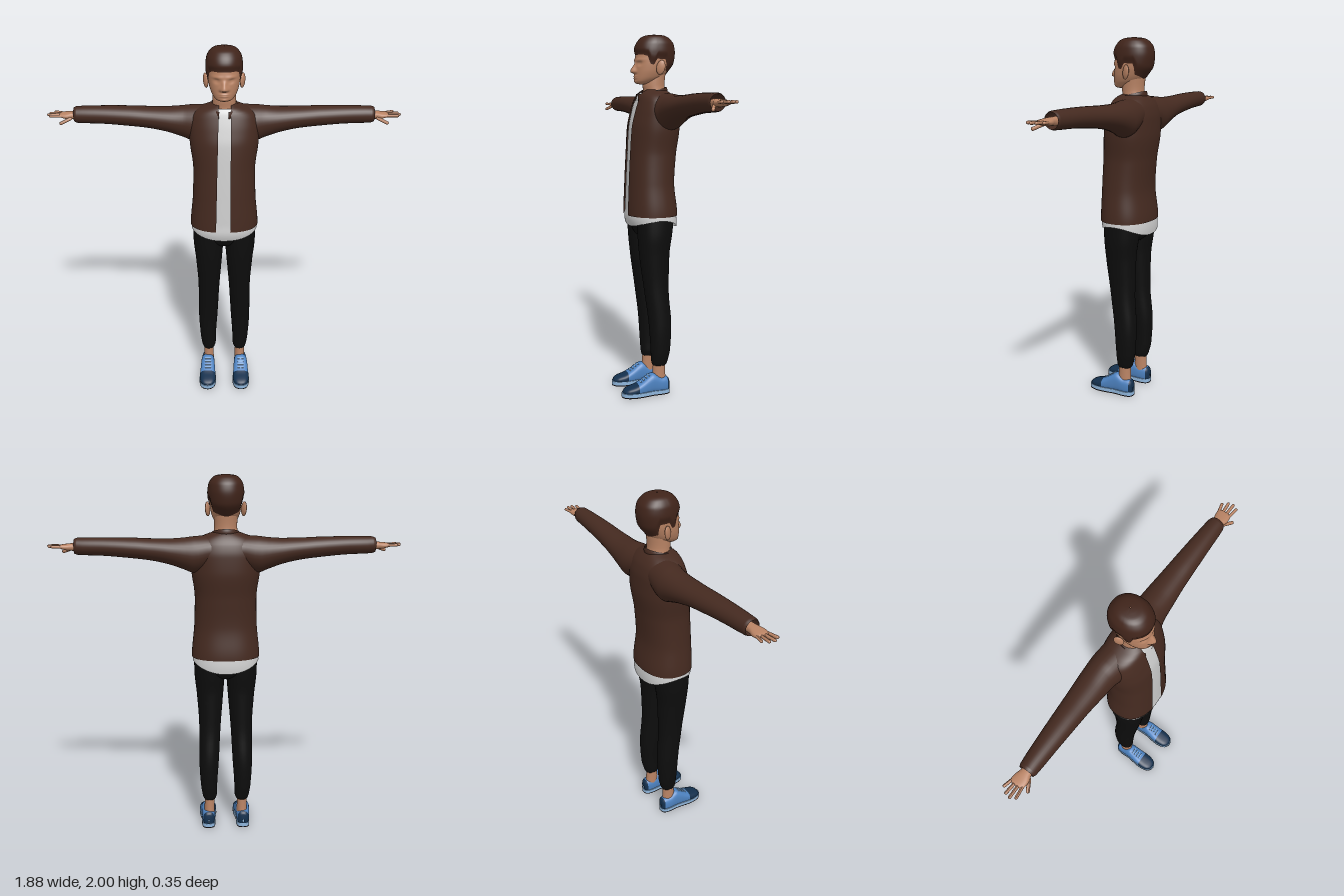
import * as THREE from 'three';
import { mergeVertices } from 'three/addons/utils/BufferGeometryUtils.js';

const TAU = Math.PI * 2;
const gauss = (d, s) => Math.exp(-(d * d) / (s * s));
const clamp = THREE.MathUtils.clamp, smooth = THREE.MathUtils.smoothstep, lerp = THREE.MathUtils.lerp;

const mat = (name, color, open) => {
  const m = new THREE.MeshStandardMaterial({ color });
  m.name = name;
  if (open) m.side = THREE.DoubleSide;
  return m;
};

// Monotone cubic interpolation of rows [t, a, b, c, d]
function sample(rows, t) {
  const n = rows.length - 1;
  let i = 0;
  while (i < n - 1 && t > rows[i + 1][0]) i++;
  const h = rows[i + 1][0] - rows[i][0], s = clamp((t - rows[i][0]) / h, 0, 1);
  const sec = (j, c) => (rows[j + 1][c] - rows[j][c]) / (rows[j + 1][0] - rows[j][0]);
  const slope = (j, c) => {
    if (j === 0) return sec(0, c);
    if (j === n) return sec(n - 1, c);
    const p = sec(j - 1, c), q = sec(j, c);
    return p * q <= 0 ? 0 : (2 * p * q) / (p + q);
  };
  return [1, 2, 3, 4].map(c =>
    rows[i][c] * (1 + 2 * s) * (1 - s) ** 2 + rows[i + 1][c] * s * s * (3 - 2 * s) +
    h * (slope(i, c) * s * (1 - s) ** 2 + slope(i + 1, c) * s * s * (s - 1)));
}

// Surface of superellipse sections along an axis; rows hold [t, uMin, uMax, wMin, wMax]
function surface(axis, rows, e = 1) {
  const pow = v => Math.sign(v) * Math.abs(v) ** e;
  const at = (a, t, off = 0) => {
    const [u0, u1, w0, w1] = sample(rows, t);
    const u = (u1 - u0) / 2 * pow(Math.sin(a)) + off * Math.sin(a);
    const w = (w0 + w1) / 2 + (w1 - w0) / 2 * pow(Math.cos(a)) + off * Math.cos(a);
    const c = (u0 + u1) / 2;
    if (axis === 'x') return [t, c - u, w];
    return axis === 'y' ? [c + u, t, w] : [c - u, w, t];
  };
  return { at, rows, e };
}

// Smooth grid geometry from fn(u, v)
function grid(nu, nv, fn) {
  const pos = [], idx = [];
  for (let j = 0; j <= nv; j++) for (let i = 0; i <= nu; i++) pos.push(...fn(i / nu, j / nv));
  for (let j = 0; j < nv; j++) for (let i = 0; i < nu; i++) {
    const a = j * (nu + 1) + i, d = a + nu + 1;
    idx.push(a, a + 1, d + 1, a, d + 1, d);
  }
  let g = new THREE.BufferGeometry();
  g.setAttribute('position', new THREE.Float32BufferAttribute(pos, 3));
  g.setIndex(idx);
  g = mergeVertices(g, 1e-5);
  g.computeVertexNormals();
  return g;
}

// Full loft through all rows, optionally limited to a range of t
function loft(surf, nu = 32, k = 4, from = -Infinity, to = Infinity) {
  const ts = [];
  surf.rows.forEach((r, i) => {
    const next = surf.rows[i + 1];
    for (let s = 0; s < (next ? k : 1); s++) ts.push(clamp(next ? lerp(r[0], next[0], s / k) : r[0], from, to));
  });
  return grid(nu, ts.length - 1, (u, v) => surf.at(u * TAU, ts[Math.round(v * (ts.length - 1))]));
}

function mirrored(g) {
  const m = g.clone().scale(-1, 1, 1), ix = m.index.array;
  for (let i = 0; i < ix.length; i += 3) [ix[i], ix[i + 1]] = [ix[i + 1], ix[i]];
  m.computeVertexNormals();
  return m;
}

function capsule(a, b, r) {
  const p = new THREE.Vector3(...a), d = new THREE.Vector3(...b).sub(p);
  const g = new THREE.CapsuleGeometry(r, d.length(), 5, 10);
  g.applyQuaternion(new THREE.Quaternion().setFromUnitVectors(new THREE.Vector3(0, 1, 0), d.clone().normalize()));
  return g.translate(...p.addScaledVector(d, 0.5).toArray());
}

export function createModel() {
  const root = new THREE.Group();
  root.name = 'standingMan';
  const jacket = mat('jacketBrown', 0x452a20, true), hairM = mat('hairBrown', 0x40241a, true);
  const skin = mat('skin', 0xb98364), black = mat('trouserBlack', 0x0d0d0d, true);
  const white = mat('shirtWhite', 0xcfcfcf, true), blue = mat('shoeBlue', 0x4d82c0, true);
  const navy = mat('shoeNavy', 0x14304d, true), pale = mat('solePaleBlue', 0x8fb6dc);
  const rubber = mat('outsoleDark', 0x1a1416);
  const add = (name, g, m) => {
    const mesh = new THREE.Mesh(g, m);
    mesh.name = name;
    root.add(mesh);
  };
  const pair = (name, g, m) => {
    add('left' + name, g, m);
    add('right' + name, mirrored(g), m);
  };

  // Torso: open jacket over a shirt
  const torso = surface('y', [
    [0.93, -0.176, 0.176, -0.16, 0.09], [1.02, -0.187, 0.187, -0.165, 0.117],
    [1.2, -0.172, 0.172, -0.148, 0.112], [1.35, -0.168, 0.168, -0.158, 0.105],
    [1.5, -0.185, 0.185, -0.175, 0.094], [1.58, -0.188, 0.188, -0.173, 0.076],
    [1.64, -0.175, 0.175, -0.16, 0.058], [1.675, -0.14, 0.14, -0.14, 0.045],
    [1.695, -0.09, 0.09, -0.122, 0.03], [1.705, -0.06, 0.06, -0.11, 0.015]], 0.88);
  const edge = (y, w) => Math.asin(Math.min(1, (w / sample(torso.rows, y)[1]) ** (1 / torso.e)));
  add('jacketBody', grid(64, 60, (u, v) => {
    const y = lerp(1.02, 1.705, v), a = edge(y, 0.034), b = edge(y, lerp(0.045, 0.028, v));
    return torso.at(lerp(a, TAU - b, u), y);
  }), jacket);
  add('shirt', grid(64, 50, (u, v) => {
    const a = u * TAU, c = Math.cos(a);
    const hem = 1.0 - (c > 0 ? 0.04 : 0.055) * c * c;
    const y = lerp(hem, 1.69, v);
    return torso.at(a, y, -0.009 * smooth(y, 0.96, 1.06));
  }), white);

  // Collar, lower at the front
  const collar = surface('y', [[1.6, -0.078, 0.078, -0.122, 0.058], [1.74, -0.069, 0.069, -0.116, 0.05]]);
  add('collar', grid(48, 6, (u, v) => {
    const a = lerp(0.3, TAU - 0.35, u);
    return collar.at(a, lerp(1.665, 1.701, v) - 0.021 * Math.cos(a), 0.004 * Math.sin(v * Math.PI));
  }), jacket);

  // Sleeves
  pair('Sleeve', loft(surface('x', [
    [0.08, 1.52, 1.688, -0.16, 0.025], [0.17, 1.49, 1.683, -0.17, 0.01],
    [0.22, 1.508, 1.677, -0.167, 0], [0.3, 1.536, 1.672, -0.16, -0.005],
    [0.4, 1.558, 1.673, -0.15, -0.012], [0.5, 1.57, 1.677, -0.142, -0.016],
    [0.65, 1.583, 1.679, -0.13, -0.022], [0.78, 1.588, 1.677, -0.118, -0.028],
    [0.797, 1.594, 1.671, -0.112, -0.034]]), 32, 4), jacket);

  // Hands
  pair('Palm', loft(surface('x', [
    [0.76, 1.606, 1.65, -0.098, -0.048], [0.8, 1.609, 1.649, -0.1, -0.044],
    [0.835, 1.612, 1.646, -0.11, -0.034], [0.862, 1.619, 1.643, -0.112, -0.036],
    [0.874, 1.626, 1.638, -0.1, -0.048], [0.876, 1.632, 1.632, -0.074, -0.074]], 0.85), 24, 4), skin);
  [[-0.045, -0.036, 0.918], [-0.064, -0.062, 0.932], [-0.083, -0.088, 0.926], [-0.102, -0.114, 0.905]]
    .forEach(([z0, z1, x], i) =>
      pair('Finger' + (i + 1), capsule([0.855, 1.631, z0], [x, 1.634, z1], 0.0078), skin));
  pair('Thumb', capsule([0.815, 1.618, -0.045], [0.862, 1.6, -0.02], 0.009), skin);

  // Trousers
  pair('TrouserLeg', loft(surface('y', [
    [0.164, 0.092, 0.094, -0.05, -0.045], [0.167, 0.06, 0.126, -0.086, -0.008],
    [0.2, 0.051, 0.136, -0.098, -0.001], [0.25, 0.05, 0.143, -0.108, 0.002],
    [0.4, 0.04, 0.151, -0.115, 0.012], [0.6, 0.029, 0.15, -0.1, 0.038],
    [0.8, 0.013, 0.162, -0.103, 0.065], [0.92, 0.004, 0.174, -0.118, 0.075],
    [1.03, 0.0, 0.176, -0.13, 0.08]], 0.92), 32, 5), black);
  add('trouserSeat', loft(surface('y', [
    [0.885, -0.004, 0.004, -0.04, 0.0], [0.9, -0.05, 0.05, -0.09, 0.045],
    [0.93, -0.13, 0.13, -0.118, 0.068], [0.97, -0.168, 0.168, -0.13, 0.078],
    [1.04, -0.172, 0.172, -0.13, 0.08]], 0.9), 40, 4), black);

  // Neck and head
  add('neck', loft(surface('y', [
    [1.62, -0.068, 0.068, -0.11, 0.02], [1.69, -0.064, 0.064, -0.108, 0.012],
    [1.73, -0.061, 0.061, -0.104, 0.016], [1.8, -0.062, 0.062, -0.11, 0.0]]), 32, 4), skin);
  const skull = surface('y', [
    [1.733, -0.004, 0.004, 0.005, 0.03], [1.738, -0.032, 0.032, -0.015, 0.053],
    [1.75, -0.051, 0.051, -0.05, 0.063], [1.775, -0.068, 0.068, -0.095, 0.064],
    [1.81, -0.079, 0.079, -0.122, 0.063], [1.85, -0.084, 0.084, -0.142, 0.061],
    [1.9, -0.085, 0.085, -0.149, 0.054], [1.94, -0.08, 0.08, -0.142, 0.04],
    [1.97, -0.062, 0.062, -0.118, 0.016], [1.984, -0.04, 0.04, -0.092, -0.012],
    [1.99, -0.002, 0.002, -0.054, -0.05]], 0.92);
  const face = (a, y) => {
    const t = Math.abs(a);
    const nose = smooth(1.858 - y, 0, 0.054) * smooth(y, 1.788, 1.8);
    return 0.025 * nose * gauss(t, 0.12 + 0.1 * smooth(1.83 - y, 0, 0.03)) +
      0.004 * gauss(t - 0.4, 0.4) * gauss(y - 1.862, 0.009) -
      0.009 * gauss(t - 0.46, 0.2) * gauss(y - 1.844, 0.011) +
      0.003 * gauss(t - 0.46, 0.15) * gauss(y - 1.843, 0.005) +
      0.005 * gauss(t, 0.32) * (gauss(y - 1.776, 0.004) + gauss(y - 1.766, 0.004)) +
      0.004 * gauss(t, 0.3) * gauss(y - 1.748, 0.008);
  };
  add('head', grid(84, 76, (u, v) => {
    const s = (u - 0.5) * TAU, a = s - 0.6 * Math.sin(s);
    const y = lerp(1.733, 1.99, lerp(v, (1 - Math.cos(v * Math.PI)) / 2, 0.7));
    return skull.at(a, y, face(a, y));
  }), skin);
  pair('Ear', new THREE.SphereGeometry(1, 16, 12).scale(0.011, 0.039, 0.024)
    .rotateX(-0.2).rotateY(-0.45).translate(0.096, 1.822, -0.052), skin);

  // Hair cap with sideburns and nape
  const hairline = [[0, 1.89], [0.7, 1.89], [1.0, 1.882], [1.2, 1.842], [1.4, 1.835],
    [1.5, 1.868], [1.95, 1.866], [2.2, 1.81], [3.15, 1.783]];
  const lineAt = t => {
    const i = Math.max(1, hairline.findIndex(p => p[0] >= t)), [a, b] = [hairline[i - 1], hairline[i]];
    return lerp(a[1], b[1], (t - a[0]) / (b[0] - a[0]));
  };
  add('hair', grid(120, 32, (u, v) => {
    const a = (u - 0.5) * TAU, low = lineAt(Math.abs(a));
    const y = lerp(low, 1.99, Math.sin(v * Math.PI / 2));
    const lift = smooth(v, 0, 0.2);
    const front = 0.005 * gauss(a, 0.9) * smooth(v, 0.05, 0.3);
    const p = skull.at(a, y, (0.003 + 0.009 * lift + front) * (1 - smooth(v, 0.9, 1)));
    p[1] += 0.01 * smooth(v, 0, 0.8);
    return p;
  }), hairM);

  // Ankles and shoes
  pair('Ankle', loft(surface('y', [
    [0.06, 0.064, 0.126, -0.088, 0.0], [0.12, 0.065, 0.123, -0.082, -0.008],
    [0.19, 0.066, 0.121, -0.08, -0.012]]), 24, 3), skin);
  const foot = 0.1;
  const upper = surface('z', [
    [-0.104, -0.004, 0.004, 0.03, 0.05], [-0.1, -0.022, 0.022, 0.0, 0.083],
    [-0.085, -0.033, 0.033, -0.03, 0.095], [-0.05, -0.038, 0.038, -0.04, 0.1],
    [-0.005, -0.04, 0.04, -0.04, 0.122], [0.02, -0.042, 0.042, -0.04, 0.112],
    [0.06, -0.045, 0.045, -0.035, 0.085], [0.1, -0.048, 0.048, -0.025, 0.064],
    [0.14, -0.042, 0.042, -0.015, 0.052], [0.163, -0.026, 0.026, 0.0, 0.04],
    [0.171, -0.003, 0.003, 0.015, 0.025]].map(([z, a, b, c, d]) =>
    [z, a + foot, b + foot, Math.max(c, 0.008), d]), 0.75);
  pair('ShoeHeel', loft(upper, 32, 4, -0.104, -0.088), navy);
  pair('ShoeUpper', loft(upper, 32, 4, -0.088, 0.085), blue);
  pair('ShoeToe', loft(upper, 32, 4, 0.085, 0.171), navy);
  for (let i = 0; i < 4; i++) {
    const z = 0.02 + i * 0.016, top = sample(upper.rows, z)[3];
    pair('Lace' + (i + 1), new THREE.BoxGeometry(0.036, 0.005, 0.006)
      .rotateX(0.55).translate(foot, top + 0.001, z), pale);
  }
  const outline = [[0, -0.106], [0.028, -0.096], [0.038, -0.06], [0.038, 0], [0.048, 0.07],
    [0.048, 0.12], [0.032, 0.162], [0, 0.176]];
  const loop = [...outline, ...outline.slice(1, -1).reverse().map(([x, z]) => [-x, z])];
  const curve = new THREE.CatmullRomCurve3(loop.map(([x, z]) => new THREE.Vector3(x, z, 0)), true);
  const print = new THREE.Shape(curve.getPoints(48).slice(0, -1).map(p => new THREE.Vector2(p.x, p.y)));
  const slab = (y, h) => {
    const g = new THREE.ExtrudeGeometry(print, { depth: h, bevelEnabled: false });
    g.rotateX(Math.PI / 2).translate(foot, y + h, 0);
    g.deleteAttribute('uv');
    return mergeVertices(g);
  };
  pair('Midsole', slab(0.006, 0.02), pale);
  pair('Outsole', slab(0, 0.006), rubber);
  return root;
}
